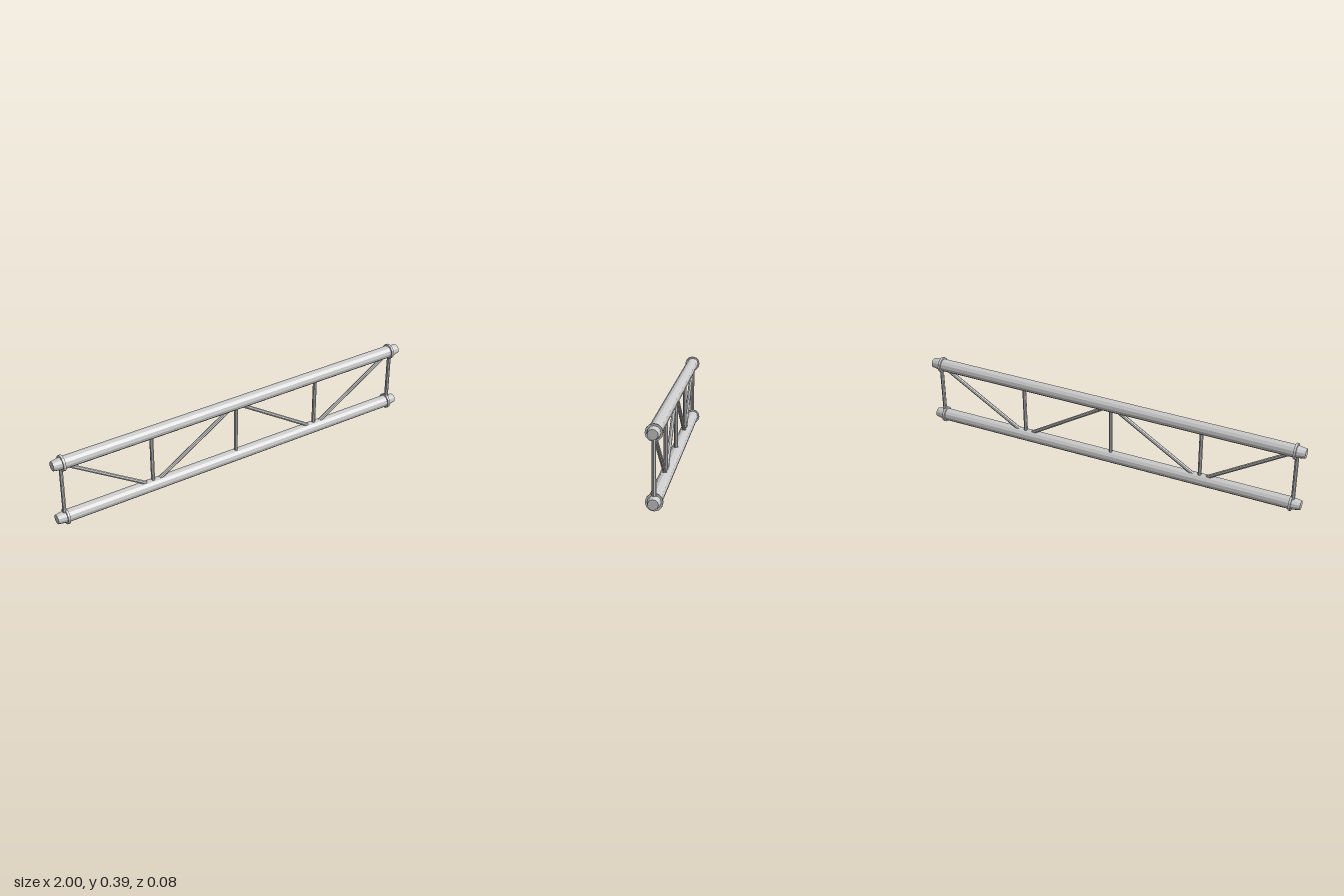
import * as THREE from 'three';

const LOW = 0.041, HIGH = 0.347;   // chord centre heights
const END = 0.957, BAY = END / 2;  // end post position and panel length

export function createModel() {
  const model = new THREE.Group();
  const material = new THREE.MeshStandardMaterial({ color: 0xcccccc, flatShading: true });

  // Straight round member between two points in the x-y plane
  function bar(name, x0, y0, x1, y1, r0, r1 = r0, sides = 12) {
    const a = new THREE.Vector3(x0, y0, 0), b = new THREE.Vector3(x1, y1, 0);
    const dir = b.clone().sub(a);
    const mesh = new THREE.Mesh(new THREE.CylinderGeometry(r1, r0, dir.length(), sides), material);
    mesh.position.copy(a).add(b).multiplyScalar(0.5);
    mesh.quaternion.setFromUnitVectors(new THREE.Vector3(0, 1, 0), dir.normalize());
    mesh.name = name;
    model.add(mesh);
  }

  // Chords with a collar and a tapered spigot at each end
  for (const [label, y] of [['lower', LOW], ['upper', HIGH]]) {
    bar(label + 'Chord', -0.95, y, 0.95, y, 0.032);
    for (const s of [-1, 1]) {
      const side = s > 0 ? 'Left' : 'Right';
      bar(label + 'Collar' + side, s * 0.944, y, s * 0.956, y, 0.04);
      bar(label + 'Spigot' + side, s * 0.95, y, s, y, 0.032, 0.024);
    }
  }

  // Vertical posts
  for (let i = -2; i <= 2; i++) bar('post' + (i + 3), i * BAY, LOW, i * BAY, HIGH, 0.01, 0.01, 8);

  // Diagonal braces, alternating down and up
  for (let i = -2; i < 2; i++) {
    const down = i % 2 === 0;
    bar('brace' + (i + 3), i * BAY, down ? HIGH : LOW, (i + 1) * BAY, down ? LOW : HIGH, 0.01, 0.01, 8);
  }

  return model;
}
